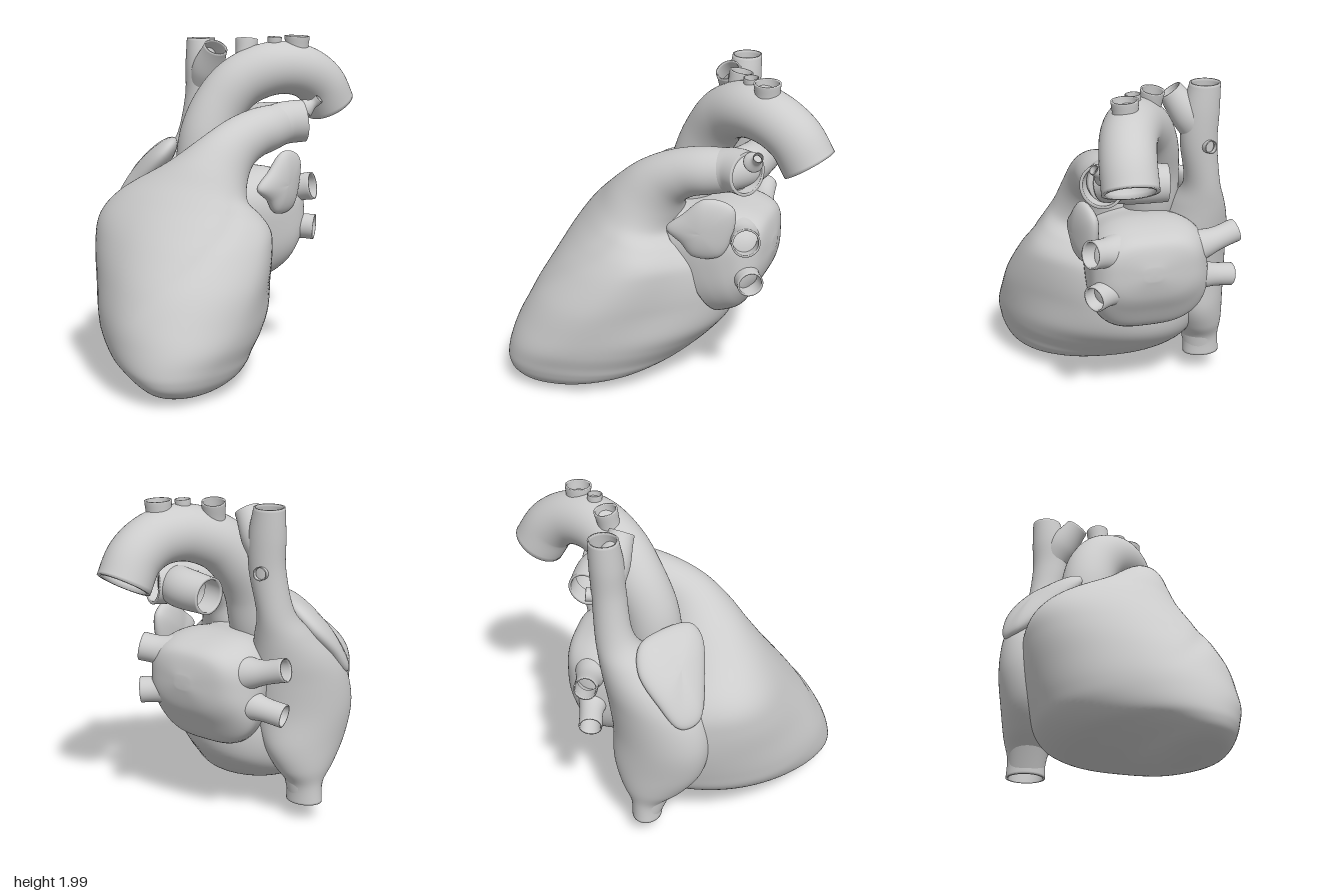
import * as THREE from 'three';

const SIDES = 48;
const { smoothstep, lerp, degToRad } = THREE.MathUtils;
const V = (x, y, z) => new THREE.Vector3(x, y, z);
const tissue = new THREE.MeshStandardMaterial({ color: 0xcccccc, side: THREE.DoubleSide });
tissue.name = 'pale grey tissue';

// Skin a list of equal-length closed rings; open ends get a wall lip and a lining.
function loft(name, rings, openStart = false, openEnd = false) {
  const centre = (r) => r.reduce((s, p) => s.add(p), V(0, 0, 0)).divideScalar(r.length);
  const shrink = (r, k) => { const c = centre(r); return r.map((p) => p.clone().sub(c).multiplyScalar(k).add(c)); };
  const n = rings.length, deep = Math.min(10, n - 1), wall = 0.87;
  const head = openStart ? [shrink(rings[deep], wall), shrink(rings[0], wall)] : [shrink(rings[0], 0.001)];
  const tail = openEnd
    ? rings.slice(n - 1 - deep).reverse().map((r) => shrink(r, wall))
    : [shrink(rings[n - 1], 0.001)];
  const all = [...head, ...rings, ...tail], m = rings[0].length, index = [];
  for (let i = 0; i < all.length - 1; i++) {
    for (let j = 0; j < m; j++) {
      const a = i * m + j, b = i * m + (j + 1) % m;
      index.push(a, a + m, b, b, a + m, b + m);
    }
  }
  const geo = new THREE.BufferGeometry().setFromPoints(all.flat());
  geo.setIndex(index);
  geo.computeVertexNormals();
  const mesh = new THREE.Mesh(geo, tissue);
  mesh.name = name;
  return mesh;
}

// Smooth value through a list of numbers, t in 0..1
function spline(list, t) {
  const f = t * (list.length - 1), i = Math.min(Math.floor(f), list.length - 2), u = f - i;
  const at = (k) => list[Math.max(0, Math.min(list.length - 1, k))];
  const [a, b, c, d] = [at(i - 1), at(i), at(i + 1), at(i + 2)];
  return b + 0.5 * u * (c - a + u * (2 * a - 5 * b + 4 * c - d + u * (3 * (b - c) + d - a)));
}

// Body from skewed elliptical sections: [cx, cy, cz, halfX, halfZ, skew, tilt] (degrees)
function sectionBody(name, rows, openStart, openEnd, swell = () => 0) {
  const steps = rows.length * 6, rings = [];
  for (let i = 0; i <= steps; i++) {
    const [cx, cy, cz, hx, hz, skew, tilt] =
      [0, 1, 2, 3, 4, 5, 6].map((k) => spline(rows.map((r) => r[k] ?? 0), i / steps));
    const s = degToRad(skew), t = degToRad(tilt), ring = [];
    for (let j = 0; j < SIDES * 2; j++) {
      const a = (j / (SIDES * 2)) * Math.PI * 2, k = 1 + swell(a, cy);
      const x = hx * Math.cos(a) * k, w = hz * Math.sin(a + s) * k;
      ring.push(V(cx + x, cy + w * Math.sin(t), cz + w * Math.cos(t)));
    }
    rings.push(ring);
  }
  return loft(name, rings, openStart, openEnd);
}

// Round hollow vessel along a path, with radii spread evenly over its length
function vessel(name, path, radii, openStart = false, steps = 32) {
  const curve = new THREE.CatmullRomCurve3(path.map((p) => V(...p)));
  const { normals, binormals } = curve.computeFrenetFrames(steps);
  const rings = [];
  for (let i = 0; i <= steps; i++) {
    const c = curve.getPointAt(i / steps), r = spline(radii, i / steps), ring = [];
    for (let j = 0; j < SIDES; j++) {
      const a = (j / SIDES) * Math.PI * 2;
      ring.push(c.clone().addScaledVector(normals[i], r * Math.cos(a)).addScaledVector(binormals[i], -r * Math.sin(a)));
    }
    rings.push(ring);
  }
  return loft(name, rings, openStart, true);
}

// Leaf-shaped cushion from an outline and a thickness direction
function cushion(name, outline, normal, thick) {
  const curve = new THREE.CatmullRomCurve3(outline.map((p) => V(...p)), true);
  const edge = curve.getPoints(SIDES * 2).slice(0, -1);
  const c = edge.reduce((s, p) => s.add(p), V(0, 0, 0)).divideScalar(edge.length);
  const n = V(...normal).normalize(), rings = [];
  for (let i = 1; i < 24; i++) {
    const a = (i / 24 - 0.5) * Math.PI;
    rings.push(edge.map((p) => c.clone().lerp(p, Math.cos(a)).addScaledVector(n, thick * Math.sin(a))));
  }
  return loft(name, rings);
}

export function createModel() {
  const heart = new THREE.Group();
  heart.name = 'heart';

  // Ventricles narrowing upward into the pulmonary trunk:
  // full front right flank, back left flank drawn in, shallow front groove
  const corner = (a) => (1 - Math.cos(4 * a)) / 2;
  const flanks = (a, y) => {
    const top = 1 - smoothstep(y, 0.9, 1.15), quarter = Math.floor(a / (Math.PI / 2));
    const bulge = [0, 0.05 * smoothstep(y, 0.1, 0.35), 0, lerp(0.05, -0.09, smoothstep(y, 0.15, 0.6))][quarter];
    const line = 0.95 - (y - 0.6) * 1.6;
    return top * (bulge * corner(a) - 0.02 * smoothstep(y, 0.4, 0.7) * Math.exp(-(((a - line) / 0.14) ** 2)));
  };
  heart.add(sectionBody('ventricles', [
    [0.35, 0.002, 0.62, 0.03, 0.04, 15, 0],
    [0.36, 0.015, 0.61, 0.11, 0.14, 15, 0],
    [0.37, 0.045, 0.595, 0.2, 0.27, 17, 0],
    [0.335, 0.09, 0.535, 0.28, 0.4, 20, 0],
    [0.255, 0.145, 0.48, 0.385, 0.49, 22, 0],
    [0.165, 0.205, 0.43, 0.49, 0.55, 23, 0],
    [0.112, 0.3, 0.37, 0.562, 0.595, 21, 0],
    [0.085, 0.42, 0.31, 0.585, 0.62, 17, 0],
    [0.055, 0.6, 0.26, 0.595, 0.59, 11, 0],
    [0.025, 0.78, 0.23, 0.572, 0.53, 2, 0],
    [0.005, 0.9, 0.215, 0.535, 0.465, -5, 4],
    [0, 1.0, 0.215, 0.465, 0.38, -7, 9],
    [0.025, 1.09, 0.215, 0.37, 0.285, -5, 16],
    [0.1, 1.205, 0.145, 0.25, 0.23, 0, 23],
    [0.16, 1.32, 0.05, 0.17, 0.18, 0, 36],
    [0.18, 1.395, -0.085, 0.15, 0.153, 0, 56],
    [0.19, 1.435, -0.24, 0.145, 0.142, 0, 74],
    [0.19, 1.455, -0.4, 0.12, 0.125, 0, 90],
  ], false, false, flanks));

  // Pulmonary arteries
  heart.add(vessel('leftPulmonaryArtery',
    [[0.18, 1.44, -0.3], [0.205, 1.465, -0.41], [0.265, 1.475, -0.51]], [0.13, 0.13, 0.13]));
  heart.add(vessel('rightPulmonaryArtery',
    [[0.2, 1.44, -0.34], [0.1, 1.46, -0.45], [-0.13, 1.45, -0.48]], [0.12, 0.12, 0.11]));
  heart.add(vessel('arterialLigament', [[0.26, 1.55, -0.54], [0.31, 1.59, -0.58], [0.33, 1.61, -0.59]], [0.06, 0.03, 0.03]));

  // Aorta and its three arch branches
  heart.add(vessel('aorta', [
    [-0.13, 1.0, 0], [-0.155, 1.2, -0.05], [-0.15, 1.4, -0.09], [-0.12, 1.57, -0.17], [-0.05, 1.71, -0.28],
    [0.06, 1.79, -0.45], [0.14, 1.775, -0.62], [0.18, 1.69, -0.76], [0.19, 1.55, -0.85],
  ], [0.15, 0.165, 0.165, 0.165, 0.165, 0.16, 0.16], false, 72));
  [
    [[-0.05, 1.74, -0.32], [-0.075, 1.97, -0.36], 0.07],
    [[0.06, 1.8, -0.46], [0.07, 1.985, -0.46], 0.045],
    [[0.14, 1.8, -0.58], [0.15, 1.99, -0.58], 0.078],
  ].forEach(([a, b, r], i) => heart.add(vessel(`archBranch${i + 1}`, [a, b], [r * 1.4, r * 0.95, r])));

  // Right atrium with lower and upper great veins
  heart.add(sectionBody('rightAtriumAndVenaCava', [
    [-0.505, 0.12, -0.035, 0.115, 0.09],
    [-0.5, 0.24, -0.03, 0.115, 0.105],
    [-0.48, 0.35, 0, 0.16, 0.2, -5],
    [-0.46, 0.5, 0.025, 0.2, 0.28, -12],
    [-0.44, 0.7, 0.04, 0.24, 0.305, -15],
    [-0.43, 0.9, 0.01, 0.24, 0.3, -12],
    [-0.42, 1.05, -0.05, 0.22, 0.26, -5],
    [-0.42, 1.2, -0.15, 0.165, 0.18],
    [-0.42, 1.35, -0.235, 0.108, 0.115],
    [-0.385, 1.6, -0.27, 0.11, 0.1],
    [-0.39, 1.8, -0.28, 0.11, 0.1],
    [-0.41, 1.97, -0.29, 0.09, 0.088],
  ], true, true));
  heart.add(vessel('upperVeinBranch', [[-0.4, 1.6, -0.27], [-0.32, 1.77, -0.26], [-0.215, 1.92, -0.23]], [0.07, 0.1, 0.075]));
  heart.add(vessel('smallBackVein', [[-0.4, 1.6, -0.31], [-0.42, 1.61, -0.4]], [0.06, 0.04, 0.04]));

  // Auricles
  heart.add(cushion('rightAuricle', [
    [-0.65, 0.91, 0.2], [-0.65, 1.06, 0.07], [-0.58, 1.22, -0.06], [-0.46, 1.33, -0.08],
    [-0.34, 1.36, 0.0], [-0.2, 1.35, 0.16], [-0.21, 1.28, 0.23], [-0.37, 1.1, 0.28], [-0.57, 0.92, 0.29],
  ], [-0.5, 0.58, 0.62], 0.08));
  heart.add(cushion('leftAuricle', [
    [0.335, 1.1, -0.04], [0.335, 1.2, -0.14], [0.32, 1.31, -0.28], [0.29, 1.26, -0.44],
    [0.29, 1.08, -0.43], [0.3, 0.95, -0.36], [0.325, 0.94, -0.2], [0.335, 1.02, -0.13],
  ], [1, 0, -0.15], 0.065));

  // Boxy left atrium, reaching back from the ventricles, and four flared lung veins
  heart.add(sectionBody('leftAtrium', [
    [-0.03, 0.82, -0.13, 0.31, 0.38, 0, 61],
    [-0.04, 0.84, -0.25, 0.34, 0.35, 0, 66],
    [-0.05, 0.88, -0.38, 0.36, 0.32, 0, 76],
    [-0.04, 0.92, -0.49, 0.33, 0.25, 0, 84],
    [-0.03, 0.94, -0.57, 0.24, 0.17, 0, 90],
    [-0.02, 0.94, -0.605, 0.05, 0.04, 0, 90],
  ], false, false, (a) => 0.12 * corner(a)));
  [
    ['leftUpperLungVein', [0.05, 1.0, -0.38], [0.2, 1.05, -0.47], [0.335, 1.075, -0.53], 0.085],
    ['leftLowerLungVein', [0.05, 0.85, -0.38], [0.2, 0.82, -0.48], [0.325, 0.81, -0.56], 0.078],
    ['rightUpperLungVein', [-0.16, 0.98, -0.4], [-0.4, 1.02, -0.4], [-0.59, 1.07, -0.375], 0.07],
    ['rightLowerLungVein', [-0.16, 0.84, -0.39], [-0.4, 0.81, -0.39], [-0.57, 0.78, -0.36], 0.07],
  ].forEach(([name, a, b, c, r]) => heart.add(vessel(name, [a, b, c], [r * 2.2, r * 1.6, r * 1.05, r])));

  return heart;
}
